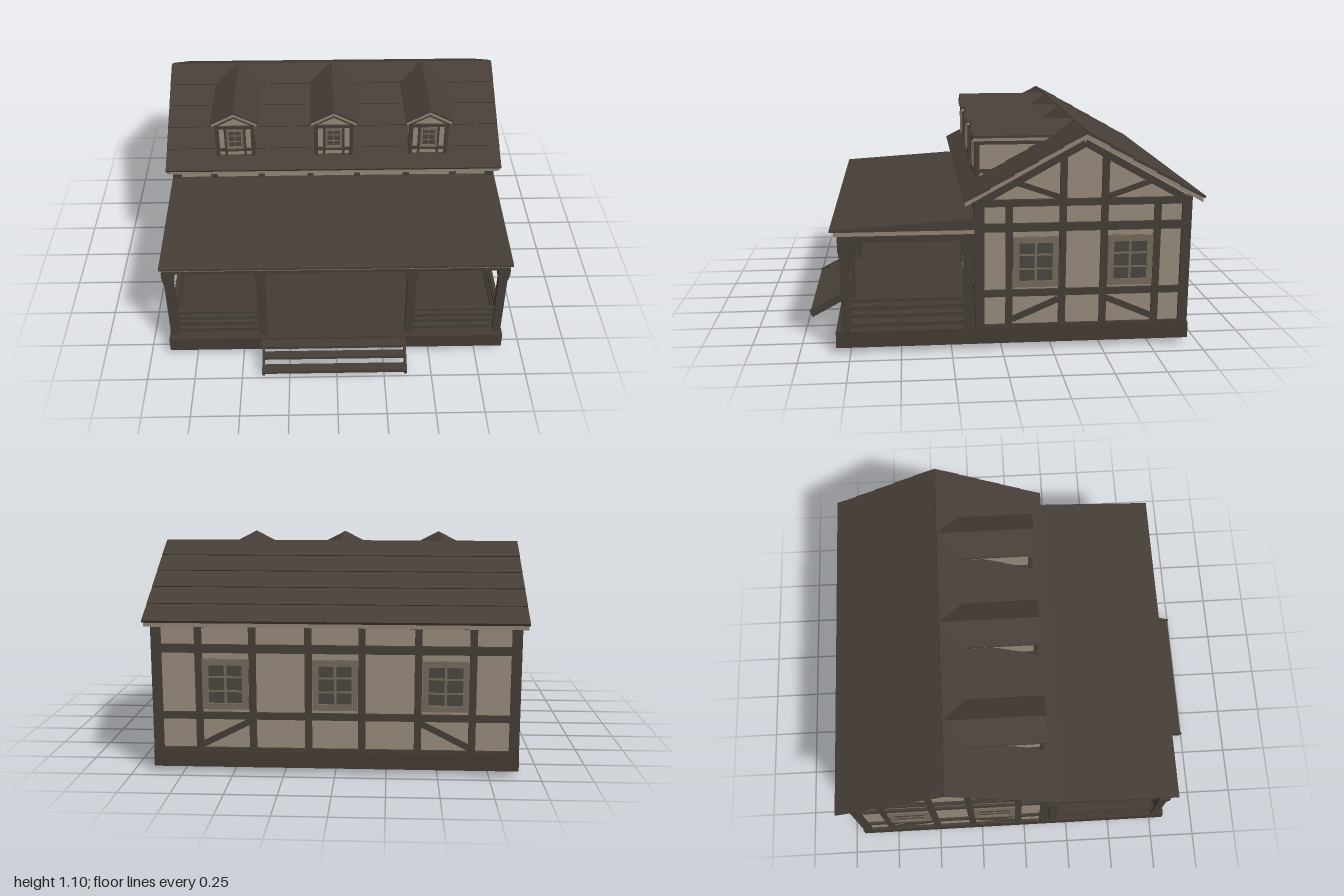
import * as THREE from 'three';

const mat = (name, color, side = THREE.FrontSide) => {
  const m = new THREE.MeshStandardMaterial({ color, side });
  m.name = name;
  return m;
};
const plaster = mat('plaster', 0x968a7b);
const timber = mat('timber', 0x443e36);
const shingle = mat('roof boards', 0x463e37);
const stone = mat('foundation', 0x443b33);
const trim = mat('pale trim', 0x8f8474);
const frameMat = mat('window frame', 0x746a5b);
const glass = mat('glass', 0x4a4640);
const doorMat = mat('door', 0x9a8f7f);

const ZC = -0.4025;            // ridge position in z
const SLOPE = 0.56, RIDGE = 1.1;
const HW = 0.88, HD = 0.5225;  // half width and half depth of the walls

function add(parent, name, geo, material) {
  const m = new THREE.Mesh(geo, material);
  m.name = name;
  parent.add(m);
  return m;
}
// Box given by its minimum and maximum on each axis
function box(parent, name, material, x0, x1, y0, y1, z0, z1) {
  const m = add(parent, name, new THREE.BoxGeometry(x1 - x0, y1 - y0, z1 - z0), material);
  m.position.set((x0 + x1) / 2, (y0 + y1) / 2, (z0 + z1) / 2);
  return m;
}
// Flat beam between two points on a wall whose face is at local z = 0
function bar(parent, name, material, x0, y0, x1, y1, w, depth = 0.014) {
  const len = Math.hypot(x1 - x0, y1 - y0);
  const m = add(parent, name, new THREE.BoxGeometry(len, w, depth), material);
  m.position.set((x0 + x1) / 2, (y0 + y1) / 2, depth / 2);
  m.rotation.z = Math.atan2(y1 - y0, x1 - x0);
  return m;
}
// Extrusion of an outline, centred on its depth
function prism(parent, name, material, pts, depth, alongX = false) {
  const shape = new THREE.Shape(pts.map(p => new THREE.Vector2(p[0], p[1])));
  const g = new THREE.ExtrudeGeometry(shape, { depth, bevelEnabled: false });
  g.translate(0, 0, -depth / 2);
  if (alongX) g.rotateY(-Math.PI / 2);   // outline is then read as (z, y)
  return add(parent, name, g, material);
}

function windowUnit(parent, cx, cy, w, h, f) {
  const g = new THREE.Group();
  g.name = 'window';
  g.position.set(cx, cy, 0);
  const a = w / 2, b = h / 2;
  box(g, 'windowGlass', glass, -a, a, -b, b, 0, 0.004);
  for (const s of [-1, 1]) {
    bar(g, 'windowJamb', frameMat, s * (a - f / 2), -b, s * (a - f / 2), b, f, 0.016);
    bar(g, 'windowRail', frameMat, -a, s * (b - f / 2), a, s * (b - f / 2), f, 0.016);
    bar(g, 'muntin', frameMat, -a, s * h * 0.14, a, s * h * 0.14, f * 0.3, 0.008);
  }
  bar(g, 'muntin', frameMat, 0, -b, 0, b, f * 0.4, 0.009);
  parent.add(g);
}

// Timber framing shared by all four walls
function wallFrame(house, name, half, studs, x, z, turn) {
  const g = new THREE.Group();
  g.name = name;
  g.position.set(x, 0, z);
  g.rotation.y = turn;
  house.add(g);
  bar(g, 'topPlate', timber, -half, 0.745, half, 0.745, 0.035);
  bar(g, 'upperRail', timber, -half, 0.622, half, 0.622, 0.042, 0.013);
  bar(g, 'baseRail', timber, -half, 0.117, half, 0.117, 0.016);
  for (const s of [-1, 1]) {
    bar(g, 'cornerPost', timber, s * (half - 0.012), 0.11, s * (half - 0.012), 0.76, 0.044, 0.015);
    for (const u of studs) bar(g, 'stud', timber, s * u, 0.11, s * u, 0.75, 0.035, 0.012);
  }
  return g;
}

function longWall(house, name, front) {
  const g = wallFrame(house, name, HW, [0.13, 0.402, 0.665], 0, front ? ZC + HD : ZC - HD, front ? 0 : Math.PI);
  for (const s of [-1, 1]) {
    windowUnit(g, s * 0.535, 0.445, 0.225, 0.25, 0.03);
    bar(g, 'sillRail', timber, s * 0.13, 0.287, s * HW, 0.287, 0.035, 0.013);
    bar(g, 'brace', timber, s * 0.65, 0.14, s * 0.415, 0.26, 0.03, 0.01);
  }
  if (!front) {
    windowUnit(g, 0, 0.445, 0.22, 0.25, 0.03);
    bar(g, 'sillRail', timber, -0.13, 0.287, 0.13, 0.287, 0.035, 0.013);
    return;
  }
  // Front door with a stepped pane and a knob
  box(g, 'door', doorMat, -0.1, 0.1, 0.14, 0.585, 0, 0.008);
  for (const s of [-1, 1]) bar(g, 'doorJamb', frameMat, s * 0.103, 0.12, s * 0.103, 0.6, 0.018, 0.013);
  box(g, 'doorStep', frameMat, -0.11, 0.11, 0.125, 0.145, 0, 0.02);
  const pane = prism(g, 'doorPane', glass, [[-0.06, 0.57], [-0.06, 0.41], [-0.045, 0.41], [-0.045, 0.385],
    [0.035, 0.385], [0.035, 0.41], [0.052, 0.41], [0.052, 0.57]], 0.006);
  pane.position.z = 0.008;
  const knob = add(g, 'doorKnob', new THREE.SphereGeometry(0.012, 10, 8), timber);
  knob.position.set(0.067, 0.315, 0.016);
}

function gableWall(house, name, s) {
  const g = wallFrame(house, name, HD, [0.103, 0.367], s * HW, ZC, s * Math.PI / 2);
  bar(g, 'sillRail', timber, -HD, 0.287, HD, 0.287, 0.035, 0.013);
  for (const d of [-1, 1]) {
    windowUnit(g, d * 0.235, 0.445, 0.225, 0.255, 0.03);
    bar(g, 'lowerBrace', timber, d * 0.35, 0.15, d * 0.12, 0.25, 0.03, 0.01);
    bar(g, 'upperBrace', timber, d * 0.35, 0.85, d * 0.12, 0.77, 0.026, 0.01);
    bar(g, 'gableStud', timber, d * 0.103, 0.75, d * 0.103, 0.99, 0.035, 0.012);
    bar(g, 'rafter', timber, 0, 1.035, d * HD, 1.035 - SLOPE * HD, 0.034, 0.015);
  }
}

function mainRoof(house) {
  const roof = new THREE.Group();
  roof.name = 'mainRoof';
  house.add(roof);
  const run = 0.588, rows = 5, angle = Math.atan(SLOPE), step = run / rows;
  for (const s of [-1, 1]) {
    // Pale underlayer showing along the verge
    const top = RIDGE - 0.014, e = run - 0.004, low = top - SLOPE * e;
    const pts = [[ZC, top], [ZC + s * e, low], [ZC + s * e, low - 0.022], [ZC, top - 0.026]];
    prism(roof, 'roofUnderlayer', trim, pts, 1.83, true);
    // Lapped boards
    for (let i = 0; i < rows; i++) {
      const d = (i + 0.5) * step;
      const b = add(roof, 'roofBoard', new THREE.BoxGeometry(1.842, 0.013, step / Math.cos(angle) + 0.008), shingle);
      b.position.set(0, RIDGE - 0.008 - SLOPE * d, ZC + s * d);
      b.rotation.x = s * (angle - 0.035);
    }
  }
}

function dormer(house, x) {
  const g = new THREE.Group();
  g.name = 'dormer';
  g.position.x = x;
  house.add(g);
  const body = prism(g, 'dormerBody', plaster, [[-0.1, 0.76], [0.1, 0.76], [0.1, 1.03], [0, 1.075], [-0.1, 1.03]], 0.42);
  body.position.z = 0.105 - 0.21;
  const chevron = (t0, t1, w) => [[-w, 1.1 - t0 - w * 0.52], [-w, 1.1 - t1 - w * 0.52], [0, 1.1 - t1],
    [w, 1.1 - t1 - w * 0.52], [w, 1.1 - t0 - w * 0.52], [0, 1.1 - t0]];
  prism(g, 'dormerRoof', shingle, chevron(0, 0.012, 0.127), 0.515).position.z = -0.1325;
  prism(g, 'dormerVerge', trim, chevron(0.012, 0.03, 0.122), 0.47).position.z = -0.113;
  const face = new THREE.Group();
  face.name = 'dormerFront';
  face.position.z = 0.105;
  g.add(face);
  windowUnit(face, 0, 0.922, 0.09, 0.125, 0.012);
  for (const y of [0.85, 0.995]) bar(face, 'dormerRail', timber, -0.105, y, 0.105, y, 0.018, 0.009);
  for (const s of [-1, 1]) {
    bar(face, 'dormerPost', timber, s * 0.096, 0.81, s * 0.096, 1.03, 0.02, 0.01);
    bar(face, 'dormerStud', timber, s * 0.052, 0.81, s * 0.052, 1.0, 0.013, 0.008);
    bar(face, 'dormerRafter', timber, 0, 1.062, s * 0.1, 1.01, 0.014, 0.009);
    for (const y of [0.85, 0.995]) box(g, 'dormerSideRail', timber, s * 0.102 - 0.005, s * 0.102 + 0.005, y - 0.009, y + 0.009, -0.3, 0.113);
    box(g, 'dormerSidePost', timber, s * 0.102 - 0.005, s * 0.102 + 0.005, 0.8, 1.02, 0.09, 0.113);
  }
}

function porch(house) {
  const g = new THREE.Group();
  g.name = 'porch';
  house.add(g);
  prism(g, 'porchRoof', shingle, [[0.835, 0.617], [0.835, 0.628], [0.12, 0.674], [0.12, 0.617]], 1.795, true);
  box(g, 'porchFrontTrim', trim, -0.89, 0.89, 0.595, 0.617, 0.795, 0.815);
  box(g, 'porchFrontBeam', timber, -0.885, 0.885, 0.562, 0.597, 0.75, 0.8);
  const post = (x, z) => {
    box(g, 'porchPost', timber, x - 0.022, x + 0.022, 0.11, 0.58, z - 0.022, z + 0.022);
    box(g, 'postCapital', timber, x - 0.03, x + 0.03, 0.515, 0.565, z - 0.03, z + 0.03);
    box(g, 'postNeck', timber, x - 0.026, x + 0.026, 0.49, 0.515, z - 0.026, z + 0.026);
  };
  const rails = [[0.255, 0.271], [0.212, 0.234], [0.172, 0.192], [0.125, 0.147]];
  for (const s of [-1, 1]) {
    const x = s * 0.865;
    box(g, 'porchSideTrim', trim, s * 0.88 - 0.01, s * 0.88 + 0.01, 0.595, 0.617, 0.1, 0.815);
    box(g, 'porchSideBeam', timber, x - 0.02, x + 0.02, 0.562, 0.597, 0.12, 0.79);
    post(x, 0.768);
    post(x, 0.165);
    post(s * 0.393, 0.768);
    for (const [y0, y1] of rails) {
      box(g, 'sideRailing', timber, x - 0.009, x + 0.009, y0, y1, 0.17, 0.76);
      box(g, 'frontRailing', timber, s * 0.63 - 0.235, s * 0.63 + 0.235, y0, y1, 0.759, 0.777);
    }
  }
  // Entrance steps
  for (const x of [-0.388, 0.364]) {
    prism(g, 'stepStringer', timber, [[0.835, 0.125], [0.818, 0.09], [0.985, 0], [1, 0.037]], 0.012, true).position.x = x;
  }
  for (const [z0, z1, y] of [[0.825, 0.88, 0.105], [0.887, 0.932, 0.08], [0.94, 0.993, 0.038]]) {
    box(g, 'stepTread', timber, -0.385, 0.362, y - 0.016, y, z0, z1);
  }
}

export function createModel() {
  const house = new THREE.Group();
  house.name = 'house';
  box(house, 'foundation', stone, -0.895, 0.895, 0.028, 0.11, -0.945, 0.82);
  // Plastered body with gable ends
  prism(house, 'walls', plaster, [[ZC - HD, 0.11], [ZC + HD, 0.11], [ZC + HD, 0.765], [ZC, 1.057], [ZC - HD, 0.765]], HW * 2, true);
  longWall(house, 'frontWall', true);
  longWall(house, 'backWall', false);
  gableWall(house, 'leftWall', 1);
  gableWall(house, 'rightWall', -1);
  mainRoof(house);
  for (const x of [-0.537, 0, 0.518]) dormer(house, x);
  porch(house);
  return house;
}
